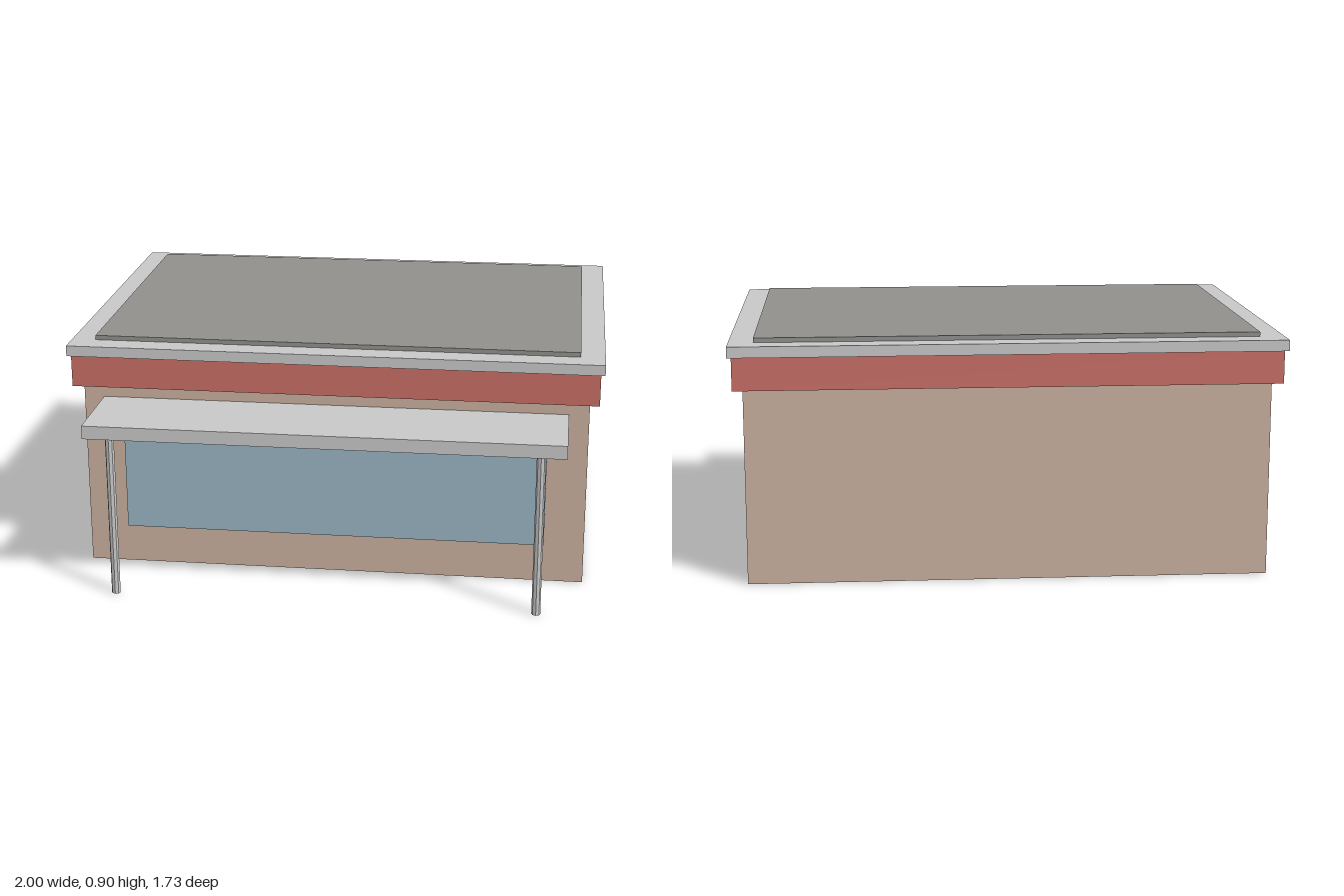
import * as THREE from 'three';

const mat = (name, color, side = THREE.FrontSide) => {
  const m = new THREE.MeshStandardMaterial({ color, side });
  m.name = name;
  return m;
};

export function createModel() {
  const model = new THREE.Group();
  model.name = 'shopBuilding';

  const tan = mat('tanWall', 0xc9b09e, THREE.DoubleSide);
  const red = mat('redFascia', 0xc86e66);
  const grey = mat('lightGrey', 0xc8c8c8);
  const roofGrey = mat('roofGrey', 0x908f8c);
  const glass = mat('blueGlass', 0x9ab4c4);

  const add = (name, geometry, material) => {
    const mesh = new THREE.Mesh(geometry, material);
    mesh.name = name;
    model.add(mesh);
    return mesh;
  };

  // Box centred on x, given half width and its y and z ranges
  const slab = (name, material, halfX, y0, y1, z0, z1) =>
    add(name, new THREE.BoxGeometry(halfX * 2, y1 - y0, z1 - z0), material)
      .position.set(0, (y0 + y1) / 2, (z0 + z1) / 2);

  // Thin walls, open below
  const wall = (name, width, x, z, turn) => {
    const mesh = add(name, new THREE.PlaneGeometry(width, 0.72), tan);
    mesh.position.set(x, 0.36, z);
    mesh.rotation.y = turn;
  };
  wall('frontWall', 1.9, 0, 0.525, 0);
  wall('backWall', 1.9, 0, -0.815, Math.PI);
  wall('leftWall', 1.34, 0.95, -0.145, Math.PI / 2);
  wall('rightWall', 1.34, -0.95, -0.145, -Math.PI / 2);

  // Stacked roof
  slab('fasciaBand', red, 0.985, 0.72, 0.84, -0.855, 0.565);
  slab('roofSlab', grey, 1, 0.84, 0.88, -0.865, 0.575);
  slab('roofMembrane', roofGrey, 0.91, 0.88, 0.897, -0.78, 0.483);

  // Shop window, showing on both sides of the front wall
  slab('shopWindow', glass, 0.8, 0.15, 0.58, 0.52, 0.54);

  // Canopy on two slim posts
  slab('canopy', grey, 0.875, 0.62, 0.67, 0.512, 0.865);
  const postMaterial = grey.clone();
  postMaterial.name = 'postGrey';
  postMaterial.flatShading = true;
  for (const side of [-1, 1]) {
    add(side > 0 ? 'leftPost' : 'rightPost', new THREE.CylinderGeometry(0.0165, 0.0165, 0.62, 8), postMaterial)
      .position.set(side * 0.783, 0.31, 0.825);
  }

  return model;
}
